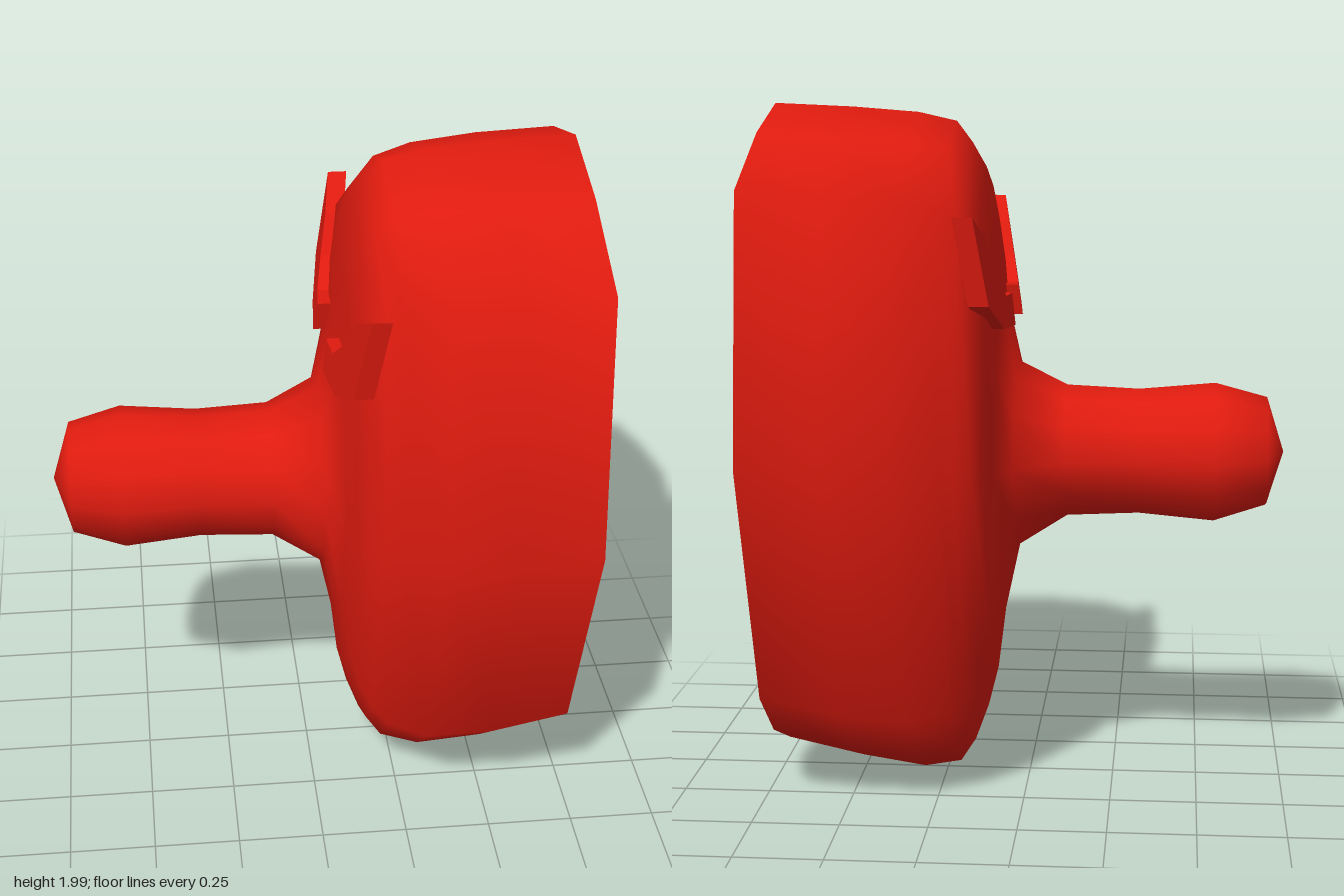
import * as THREE from 'three';
import { mergeVertices } from 'three/addons/utils/BufferGeometryUtils.js';

// Half outlines from top to bottom: [share of half width, share of height]
const ROUND = [[0, 1], [0.5, 0.93], [0.87, 0.75], [1, 0.5], [0.87, 0.25], [0.5, 0.07], [0, 0]];
const SHIELD = [[0, 1], [0.4, 0.96], [0.845, 0.885], [1, 0.505], [0.63, 0.135], [0.36, 0.055], [0, 0]];

// Sections along x: [x, top, bottom, half width, blend from round to shield]
const SECTIONS = [
  [-0.74, 1, 1, 0, 0],
  [-0.69, 1.16, 0.84, 0.165, 0],
  [-0.54, 1.2, 0.79, 0.21, 0],
  [-0.32, 1.18, 0.81, 0.19, 0],
  [-0.11, 1.19, 0.8, 0.197, 0],
  [0.03, 1.26, 0.71, 0.27, 0.1],
  [0.075, 1.46, 0.5, 0.37, 0.5],
  [0.095, 1.64, 0.33, 0.45, 0.8],
  [0.125, 1.82, 0.21, 0.5, 1],
  [0.165, 1.89, 0.1, 0.52, 1],
  [0.21, 1.95, 0.03, 0.545, 1],
  [0.32, 1.975, 0.01, 0.63, 1],
  [0.51, 1.99, 0.04, 0.675, 1],
  [0.735, 2, 0.09, 0.668, 1],
];

// Closed ring of twelve points, inset by the wall thickness
function ring([x, top, bottom, width, blend], inset) {
  const w = Math.max(0, width - inset);
  const hi = width ? top - inset : top;
  const lo = width ? bottom + inset : bottom;
  const px = Math.min(x + inset, 0.735);
  const half = ROUND.map(([z, v], i) => {
    const s = SHIELD[i];
    const y = THREE.MathUtils.lerp(v, s[1], blend);
    return [px, lo + (hi - lo) * y, w * THREE.MathUtils.lerp(z, s[0], blend)];
  });
  const mirrored = half.slice(1, -1).reverse().map(([a, y, z]) => [a, y, -z]);
  return [...half, ...mirrored];
}

// Smooth skin through a list of rings
function skin(rings, flip = false) {
  const n = rings[0].length;
  const index = [];
  for (let i = 0; i < rings.length - 1; i++) {
    for (let j = 0; j < n; j++) {
      const k = (j + 1) % n;
      const a = i * n + j, b = i * n + k, c = (i + 1) * n + k, d = (i + 1) * n + j;
      if (flip) index.push(a, c, b, a, d, c);
      else index.push(a, b, c, a, c, d);
    }
  }
  let geo = new THREE.BufferGeometry();
  geo.setAttribute('position', new THREE.Float32BufferAttribute(rings.flat(2), 3));
  geo.setIndex(index);
  geo = mergeVertices(geo);
  geo.computeVertexNormals();
  return geo;
}

// Crescent flap, slanted to follow the back of the cup
function flapGeometry() {
  const shape = new THREE.Shape([
    [0.13, 1.38], [0.3, 1.39], [0.47, 1.47], [0.51, 1.71],
    [0.36, 1.64], [0.29, 1.54], [0.2, 1.47], [0.11, 1.47],
  ].map(([u, v]) => new THREE.Vector2(u, v)));
  const geo = new THREE.ExtrudeGeometry(shape, { depth: 0.055, bevelEnabled: false });
  geo.rotateY(Math.PI / 2);
  const p = geo.attributes.position;
  for (let i = 0; i < p.count; i++) {
    const out = -p.getZ(i) - 0.11;
    p.setX(i, p.getX(i) + 0.03 + out * 0.09 + (p.getY(i) - 1.38) * 0.15);
  }
  geo.computeVertexNormals();
  return geo;
}

export function createModel() {
  const model = new THREE.Group();
  const red = new THREE.MeshStandardMaterial({ color: 0xe01b0f });
  const add = (name, geo) => {
    const mesh = new THREE.Mesh(geo, red);
    mesh.name = name;
    model.add(mesh);
    return mesh;
  };

  // Hollow cup with its tubular stem
  const outer = SECTIONS.map((s) => ring(s, 0));
  const inner = SECTIONS.map((s) => ring(s, 0.042));
  add('outerShell', skin(outer));
  add('innerShell', skin(inner, true));
  add('rim', skin([outer.at(-1), inner.at(-1)]));

  // Pair of flaps above the stem
  const flap = flapGeometry();
  add('rightFlap', flap);
  add('leftFlap', flap).scale.z = -1;

  return model;
}
